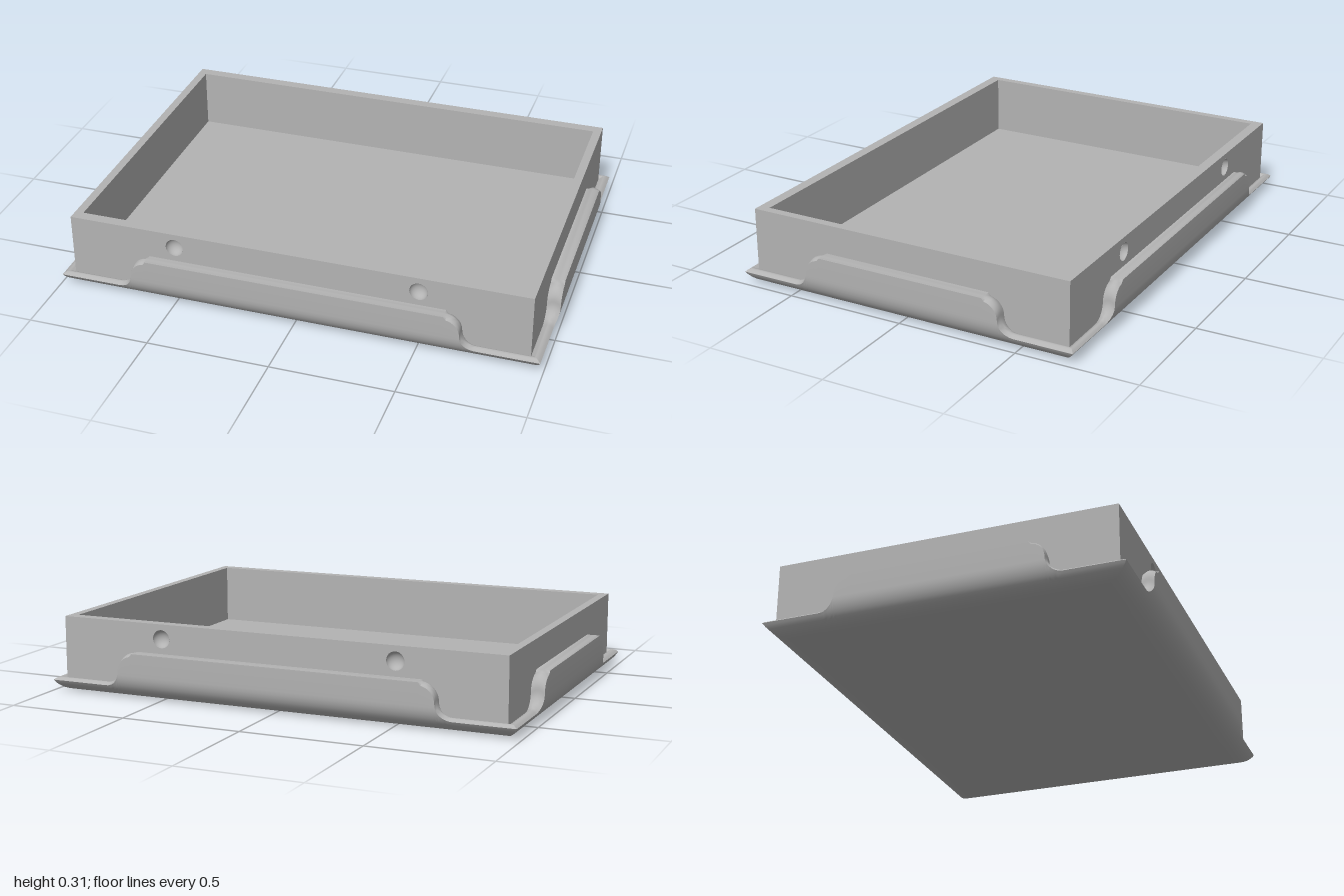
import * as THREE from 'three';
import { toCreasedNormals } from 'three/addons/utils/BufferGeometryUtils.js';

const TOP = 0.31, FLOOR = 0.06, WALL_BASE = 0.03;
const HOLE_X = 0.5, HOLE_Y = 0.25, HOLE_R = 0.037;
const CURVE = 0.1; // height of the rounded lower edge
// base: edge of flat underside, bulge: how far the skirt swells out, wall/inner: tray wall faces
const X = { base: 0.92, bulge: 0.08, wall: 0.945, inner: 0.91 };
const Z = { base: 0.645, bulge: 0.1, wall: 0.695, inner: 0.65 };

// Stations from a corner to the plateau: [distance along side, height, lip rounding]
function shoulder(plateau) {
  const r = 0.065, mid = 0.125, n = 10, list = [];
  for (let i = 0; i <= n; i++) {
    const a = (i / n) * Math.PI / 2;
    list.push([plateau + 2 * r - r * Math.sin(a), mid - r * Math.cos(a), 0.012]);
  }
  for (let i = 1; i <= n; i++) {
    const a = (i / n) * Math.PI / 2;
    list.push([plateau + r * Math.cos(a), mid + r * Math.sin(a), i === n ? 0 : 0.012]);
  }
  return list;
}

// Cross-section of the skirt: [height, swell 0..1, blend toward the wall 0..1]
function section(h, lip) {
  const pts = [], edge = h - lip;
  const max = Math.acos(1 - Math.min(edge, CURVE) / CURVE);
  for (let j = 0; j <= 10; j++) {
    const a = (max * j) / 10;
    pts.push([CURVE * (1 - Math.cos(a)), Math.sin(a), 0]);
  }
  for (let j = 0; j <= 6; j++) {
    pts.push([h - lip * (1 - Math.sin((Math.PI * j) / 6)), Math.sin(max), j / 6]);
  }
  return pts;
}

const reach = (axis, swell, t) => THREE.MathUtils.lerp(axis.base + axis.bulge * swell, axis.wall, t);

// One side of the skirt, mitred at both corners, facing +z
function skirtGeometry(out, along, plateau) {
  const half = shoulder(plateau);
  const stations = [
    [null, half[0][1], half[0][2], -1],
    ...half.map(([s, h, lip]) => [-s, h, lip]),
    ...half.slice().reverse(),
    [null, half[0][1], half[0][2], 1],
  ];
  const pos = [], index = [];
  let rows = 0;
  stations.forEach(([s, h, lip, end]) => {
    const pts = section(h, lip);
    rows = pts.length;
    for (const [y, swell, t] of pts) {
      pos.push(s === null ? end * reach(along, swell, t) : s, y, reach(out, swell, t));
    }
  });
  for (let i = 0; i < stations.length - 1; i++) {
    for (let j = 0; j < rows - 1; j++) {
      const a = i * rows + j, b = a + rows;
      index.push(a, b, b + 1, a, b + 1, a + 1);
    }
  }
  const g = new THREE.BufferGeometry();
  g.setAttribute('position', new THREE.Float32BufferAttribute(pos, 3));
  g.setIndex(index);
  return toCreasedNormals(g, 0.6);
}

export function createModel() {
  const model = new THREE.Group();
  const grey = new THREE.MeshStandardMaterial({ color: 0xb3b3b3, side: THREE.DoubleSide });
  grey.name = 'grey';

  function add(parent, name, geometry, x = 0, y = 0, z = 0) {
    const mesh = new THREE.Mesh(geometry, grey);
    mesh.name = name;
    mesh.position.set(x, y, z);
    parent.add(mesh);
    return mesh;
  }

  // Underside and tray floor
  add(model, 'underside', new THREE.PlaneGeometry(2 * X.base, 2 * Z.base).rotateX(Math.PI / 2));
  add(model, 'trayFloor', new THREE.BoxGeometry(2 * X.inner, 0.02, 2 * Z.inner), 0, FLOOR - 0.01, 0);

  // Skirt with raised middle on all four sides
  const longSkirt = skirtGeometry(Z, X, 0.61);
  const shortSkirt = skirtGeometry(X, Z, 0.36);
  ['front', 'left', 'back', 'right'].forEach((side, i) => {
    add(model, side + 'Skirt', i % 2 ? shortSkirt : longSkirt).rotation.y = (i * Math.PI) / 2;
  });

  // End walls
  const wallH = TOP - WALL_BASE, wallY = (TOP + WALL_BASE) / 2;
  const endWall = new THREE.BoxGeometry(X.wall - X.inner, wallH, 2 * Z.wall);
  for (const [name, s] of [['leftWall', 1], ['rightWall', -1]]) {
    add(model, name, endWall, s * (X.wall + X.inner) / 2, wallY, 0);
  }

  // Long walls with two round dimples each
  const face = new THREE.Shape();
  face.moveTo(-X.inner, WALL_BASE).lineTo(X.inner, WALL_BASE).lineTo(X.inner, TOP).lineTo(-X.inner, TOP);
  for (const s of [-1, 1]) {
    face.holes.push(new THREE.Path().absarc(s * HOLE_X, HOLE_Y, HOLE_R, 0, Math.PI * 2, true));
  }
  const outerFace = new THREE.ShapeGeometry(face, 24);
  const innerFace = new THREE.PlaneGeometry(2 * X.inner, wallH).rotateY(Math.PI);
  const rim = new THREE.PlaneGeometry(2 * X.inner, Z.wall - Z.inner).rotateX(-Math.PI / 2);
  const dimple = new THREE.SphereGeometry(HOLE_R, 24, 10, 0, Math.PI * 2, 0, Math.PI / 2)
    .rotateX(-Math.PI / 2).scale(1, 1, 0.9);
  for (const [name, turn] of [['frontWall', 0], ['backWall', Math.PI]]) {
    const wall = new THREE.Group();
    wall.name = name;
    wall.rotation.y = turn;
    add(wall, 'outerFace', outerFace, 0, 0, Z.wall);
    add(wall, 'innerFace', innerFace, 0, wallY, Z.inner);
    add(wall, 'rim', rim, 0, TOP, (Z.wall + Z.inner) / 2);
    for (const s of [-1, 1]) add(wall, 'dimple', dimple, s * HOLE_X, HOLE_Y, Z.wall);
    model.add(wall);
  }
  return model;
}
